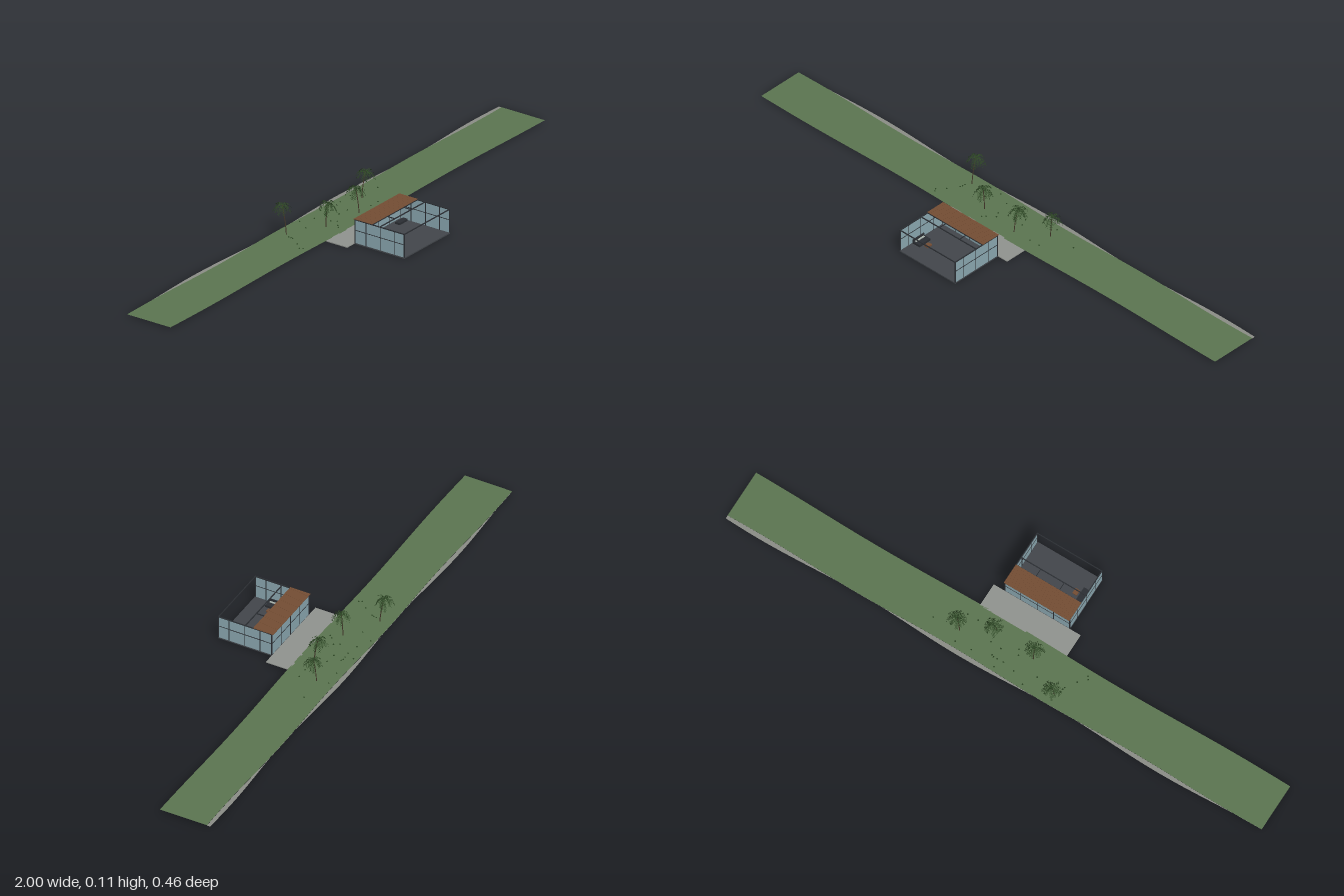
import * as THREE from 'three';
import { mergeGeometries } from 'three/addons/utils/BufferGeometryUtils.js';

const mat = (name, color, double) => {
  const m = new THREE.MeshStandardMaterial({ color });
  m.name = name;
  if (double) m.side = THREE.DoubleSide;
  return m;
};

export function createModel() {
  const root = new THREE.Group();
  root.name = 'beachPavilion';
  const M = {
    grass: mat('lawn green', 0x5b7550, true),
    kerb: mat('shore grey', 0x8a8c86, true),
    paving: mat('paving grey', 0x90938e),
    floor: mat('floor slate', 0x42464b),
    frame: mat('frame charcoal', 0x2b2e33),
    glass: mat('glass blue', 0x8ba8b1),
    wood: mat('roof wood', 0x744d33),
    trunk: mat('trunk brown', 0x45382b),
    leaf: mat('palm green', 0x2c4524, true),
    pale: mat('pale fabric', 0xa9b3ac),
  };
  const group = (name, parent = root) => {
    const g = new THREE.Group();
    g.name = name;
    parent.add(g);
    return g;
  };
  const add = (name, geo, m, parent = root) => {
    const mesh = new THREE.Mesh(geo, m);
    mesh.name = name;
    parent.add(mesh);
    return mesh;
  };
  // box given by its minimum and maximum corners
  const box = (name, x0, x1, y0, y1, z0, z1, m, parent) => {
    const b = add(name, new THREE.BoxGeometry(x1 - x0, y1 - y0, z1 - z0), m, parent);
    b.position.set((x0 + x1) / 2, (y0 + y1) / 2, (z0 + z1) / 2);
    return b;
  };
  let seed = 7;
  const rand = () => (seed = (seed * 16807) % 2147483647) / 2147483647;

  // long lawn with gently waving edges and a pale strip behind it
  const strip = (front, back, y) => {
    const pos = [], idx = [], n = 80;
    for (let i = 0; i <= n; i++) {
      const x = -1 + (2 * i) / n;
      pos.push(x, y, front(x), x, y, back(x));
      if (i < n) {
        const a = i * 2;
        idx.push(a, a + 2, a + 1, a + 2, a + 3, a + 1);
      }
    }
    const g = new THREE.BufferGeometry();
    g.setAttribute('position', new THREE.Float32BufferAttribute(pos, 3));
    g.setIndex(idx);
    g.computeVertexNormals();
    return g;
  };
  const frontEdge = (x) => -0.048 + 0.003 * Math.sin(x * 7 + 1);
  const backEdge = (x) => -0.217 + 0.003 * Math.sin(x * 9);
  const shoreEdge = (x) => -0.224 + 0.006 * Math.cos((x + 0.25) * 8.4);
  add('lawn', strip(frontEdge, backEdge, 0.004), M.grass);
  add('shoreStrip', strip(backEdge, shoreEdge, 0.003), M.kerb);
  box('terrace', -0.165, 0.16, 0.001, 0.004, -0.05, 0.034, M.paving);

  // pavilion: floor, glass walls on three sides, open front
  const X0 = -0.125, X1 = 0.12, Z0 = 0.034, Z1 = 0.23, H = 0.086;
  const house = group('pavilion');
  box('floorSlab', X0, X1, 0, 0.004, Z0, Z1, M.floor, house);
  box('backGlass', X0 + 0.002, X1 - 0.002, 0.004, H - 0.002, Z0 + 0.001, Z0 + 0.002, M.glass, house);
  for (const [x, name] of [[X0 + 0.001, 'rightGlass'], [X1 - 0.002, 'leftGlass']])
    box(name, x, x + 0.001, 0.004, H - 0.002, Z0 + 0.002, Z1 - 0.002, M.glass, house);

  // posts, mullions and rails
  const frame = group('frame', house);
  const post = (name, x, z, w, d) =>
    box(name, x - w / 2, x + w / 2, 0.004, H - 0.001, z - d / 2, z + d / 2, M.frame, frame);
  for (const x of [X0 + 0.0015, X1 - 0.0015]) {
    for (const z of [Z0 + 0.0015, Z1 - 0.0015]) post('cornerPost', x, z, 0.003, 0.003);
    for (const z of [0.078, 0.135, 0.19]) post('sideMullion', x, z, 0.003, 0.0025);
    box('sideRail', x - 0.0015, x + 0.0015, 0.0475, 0.0495, Z0, Z1, M.frame, frame);
    box('sideTopBeam', x - 0.0015, x + 0.0015, H - 0.003, H, Z0, Z1, M.frame, frame);
  }
  for (const x of [-0.063, -0.002, 0.059]) post('backMullion', x, Z0 + 0.0015, 0.002, 0.003);
  box('backRail', X0, X1, 0.0475, 0.0495, Z0, Z0 + 0.003, M.frame, frame);
  for (const z of [Z0 + 0.0015, 0.102, 0.132, Z1 - 0.0015])
    box('crossBeam', X0, X1, H - 0.003, H, z - 0.0015, z + 0.0015, M.frame, frame);
  for (const x of [-0.043, 0.045])
    box('roofJoist', x - 0.001, x + 0.001, H - 0.003, H, 0.102, 0.132, M.frame, frame);

  // timber roof over the rear half, laid as boards
  const boards = 9, bw = (0.103 - Z0 + 0.004) / boards;
  const roof = group('timberRoof', house);
  for (let i = 0; i < boards; i++) {
    const z = Z0 - 0.004 + i * bw;
    box('roofBoard', X0, X1, H - 0.001, H + 0.001, z, z + bw - 0.0002, M.wood, roof);
  }

  // low furniture
  const lounge = group('furniture', house);
  box('sofaSeat', -0.117, -0.09, 0.004, 0.012, 0.125, 0.175, M.frame, lounge);
  box('sofaBack', -0.12, -0.116, 0.004, 0.02, 0.125, 0.175, M.frame, lounge);
  box('sofaCushion', -0.115, -0.109, 0.012, 0.014, 0.13, 0.17, M.pale, lounge);
  box('lowTable', -0.084, -0.068, 0.004, 0.009, 0.14, 0.16, M.wood, lounge);
  box('bench', 0.07, 0.113, 0.004, 0.011, 0.05, 0.068, M.frame, lounge);

  // one arching frond along +x, with narrow leaflets on both sides
  const frond = (len, rise, droop) => {
    const pos = [], n = 11;
    const at = (t) => [len * t * (1 - 0.15 * t), rise * t - droop * t * t];
    for (let i = 0; i < n; i++) {
      const t = i / n, [ax, ay] = at(t), [bx, by] = at((i + 1) / n);
      pos.push(ax, ay, -0.0004, ax, ay, 0.0004, bx, by, 0);
      const l = 0.011 * Math.sin(Math.PI * (0.15 + 0.75 * t));
      for (const s of [-1, 1])
        pos.push(ax, ay, 0, ax + (bx - ax) * 0.6, ay + (by - ay) * 0.6, 0,
          bx + l * 0.35, by - l * 0.45, s * l * 0.8);
    }
    const g = new THREE.BufferGeometry();
    g.setAttribute('position', new THREE.Float32BufferAttribute(pos, 3));
    g.computeVertexNormals();
    return g;
  };

  // palms: base x, base z, crown x, crown z, height
  const palms = [
    [-0.2, -0.18, -0.2, -0.197, 0.103],
    [0.17, -0.155, 0.182, -0.15, 0.095],
    [-0.08, -0.113, -0.08, -0.106, 0.09],
    [0.07, -0.092, 0.072, -0.108, 0.088],
  ];
  for (const [bx, bz, cx, cz, h] of palms) {
    const palm = group('palmTree');
    const curve = new THREE.QuadraticBezierCurve3(
      new THREE.Vector3(bx, 0.003, bz),
      new THREE.Vector3(bx + (cx - bx) * 0.2, h * 0.5, bz + (cz - bz) * 0.2),
      new THREE.Vector3(cx, h, cz));
    add('palmTrunk', new THREE.TubeGeometry(curve, 10, 0.0015, 6), M.trunk, palm);
    const leaves = [];
    for (let i = 0; i < 14; i++) {
      const up = i % 2;
      const g = frond(0.032 + rand() * 0.008, up ? 0.025 : 0.012, (up ? 0.034 : 0.036) + rand() * 0.01);
      leaves.push(g.rotateY(i * 2.4 + rand() * 0.3));
    }
    add('palmFronds', mergeGeometries(leaves), M.leaf, palm).position.set(cx, h, cz);
  }

  // small tufts scattered over the lawn
  const tufts = [];
  for (let i = 0; i < 26; i++) {
    const x = (rand() + rand() - 1) * 0.32, z = -0.07 - rand() * 0.135;
    tufts.push(new THREE.ConeGeometry(0.003, 0.004, 5).translate(x, 0.006, z));
  }
  add('grassTufts', mergeGeometries(tufts), M.leaf);
  return root;
}
